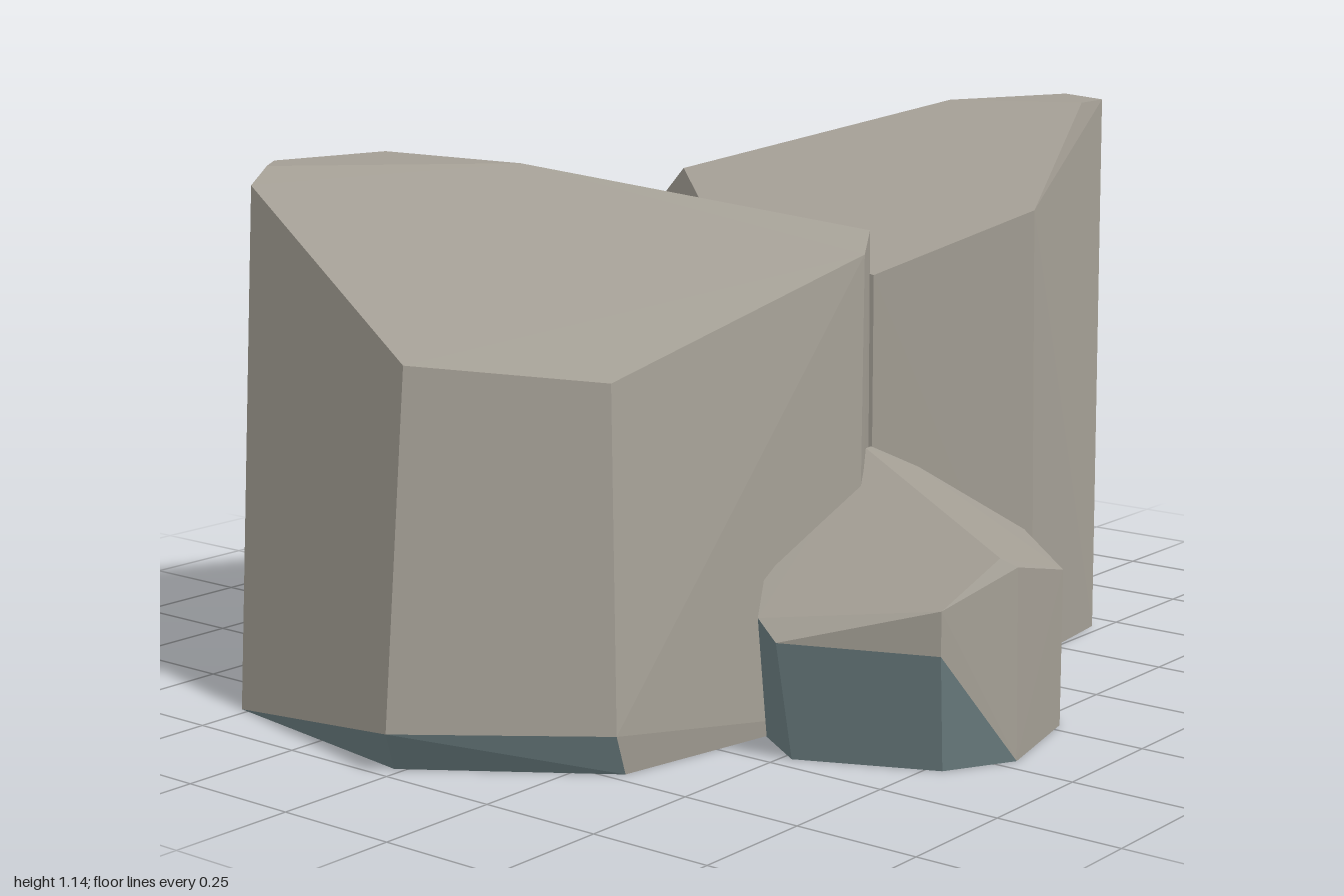
import * as THREE from 'three';
import { ConvexGeometry } from 'three/addons/geometries/ConvexGeometry.js';

const stone = new THREE.MeshStandardMaterial({ color: 0xa39e94 });
stone.name = 'warm grey stone';
const underside = new THREE.MeshStandardMaterial({ color: 0x6d8083 });
underside.name = 'blue grey underside';

// Each rock is a chiselled hull: crown corners, undercut corners and a footprint on the ground.
const rocks = {
  largeLeftRock: {
    crown: [
      [-0.92, 0.75, -0.015], [-0.70, 0.72, 0.29], [-0.10, 0.90, 0.42], [-0.02, 0.935, 0.375],
      [-0.33, 1.05, -0.26], [-0.68, 1.05, -0.62], [-0.75, 1.02, -0.59], [-0.60, 1.05, -0.685],
      [-0.33, 1.05, -0.64], [0.04, 0.90, -0.59], [0.22, 0.83, -0.34], [0.14, 0.862, 0.23],
    ],
    undercut: [[-1, 0.08, 0], [-0.75, 0.08, 0.34]],
    foot: [
      [-0.96, -0.02], [-0.72, 0.335], [-0.14, 0.44], [0.16, 0.25],
      [0.23, -0.33], [0, -0.65], [-0.52, -0.73], [-0.88, -0.52],
    ],
  },
  tallRightRock: {
    crown: [
      [0.56, 1.14, 0.17], [0.67, 1.14, 0.43], [0.77, 1.14, 0.42], [0.85, 1.14, 0.28],
      [1, 0.98, 0.03], [0.93, 0.90, -0.14], [0.54, 0.82, -0.435], [0.26, 0.89, -0.41],
      [0.16, 1.0, -0.24], [0.06, 0.90, -0.08], [0.10, 0.826, 0.30], [0.38, 0.945, 0.50],
    ],
    undercut: [[0.87, 0.07, -0.24], [0.74, 0.07, -0.32]],
    foot: [
      [0.39, 0.51], [0.69, 0.475], [0.95, 0.03], [0.855, -0.22], [0.70, -0.30],
      [0.52, -0.435], [0.26, -0.41], [0.07, -0.08], [0.10, 0.30],
    ],
  },
  smallFrontRock: {
    crown: [
      [-0.24, 0.39, 0.83], [-0.02, 0.50, 0.37], [0.04, 0.49, 0.34], [0.15, 0.435, 0.38],
      [0.23, 0.32, 0.585], [0.03, 0.31, 0.80], [-0.21, 0.37, 0.85], [-0.385, 0.315, 0.80],
      [-0.48, 0.265, 0.455], [-0.39, 0.31, 0.40],
    ],
    undercut: [[-0.51, 0.235, 0.52], [-0.385, 0.23, 0.80]],
    foot: [
      [-0.345, 0.78], [-0.21, 0.855], [0.03, 0.80], [0.23, 0.58],
      [0.14, 0.37], [0.04, 0.34], [-0.38, 0.40], [-0.46, 0.52],
    ],
  },
  smallBackRock: {
    crown: [
      [0.695, 0.435, -0.50], [0.70, 0.435, -0.33], [0.88, 0.435, -0.33], [0.95, 0.435, -0.41],
      [0.95, 0.435, -0.59], [0.94, 0.35, -0.77], [0.82, 0.287, -0.865], [0.59, 0.253, -0.865],
      [0.36, 0.285, -0.71], [0.31, 0.305, -0.65], [0.31, 0.34, -0.57], [0.31, 0.33, -0.40],
    ],
    undercut: [[0.89, 0.14, -0.33], [0.70, 0.14, -0.33]],
    foot: [
      [0.35, -0.66], [0.59, -0.845], [0.80, -0.845], [0.93, -0.74],
      [0.94, -0.45], [0.86, -0.41], [0.60, -0.41], [0.42, -0.48],
    ],
  },
};

// Builds one faceted rock; facets leaning towards the ground take the underside colour.
function makeRock(name, { crown, undercut, foot }) {
  const points = [...crown, ...undercut, ...foot.map(([x, z]) => [x, 0, z])];
  const hull = new ConvexGeometry(points.map((p) => new THREE.Vector3(...p)));
  const position = hull.attributes.position;
  const upper = [];
  const lower = [];
  const triangle = new THREE.Triangle();
  const normal = new THREE.Vector3();
  for (let i = 0; i < position.count; i += 3) {
    triangle.setFromAttributeAndIndices(position, i, i + 1, i + 2);
    triangle.getNormal(normal);
    const list = normal.y < -0.15 ? lower : upper;
    for (const corner of [triangle.a, triangle.b, triangle.c]) list.push(...corner.toArray());
  }
  const geometry = new THREE.BufferGeometry();
  geometry.setAttribute('position', new THREE.Float32BufferAttribute([...upper, ...lower], 3));
  geometry.addGroup(0, upper.length / 3, 0);
  geometry.addGroup(upper.length / 3, lower.length / 3, 1);
  geometry.computeVertexNormals();
  const rock = new THREE.Mesh(geometry, [stone, underside]);
  rock.name = name;
  return rock;
}

export function createModel() {
  const group = new THREE.Group();
  group.name = 'rockCluster';
  for (const [name, shape] of Object.entries(rocks)) group.add(makeRock(name, shape));
  return group;
}
